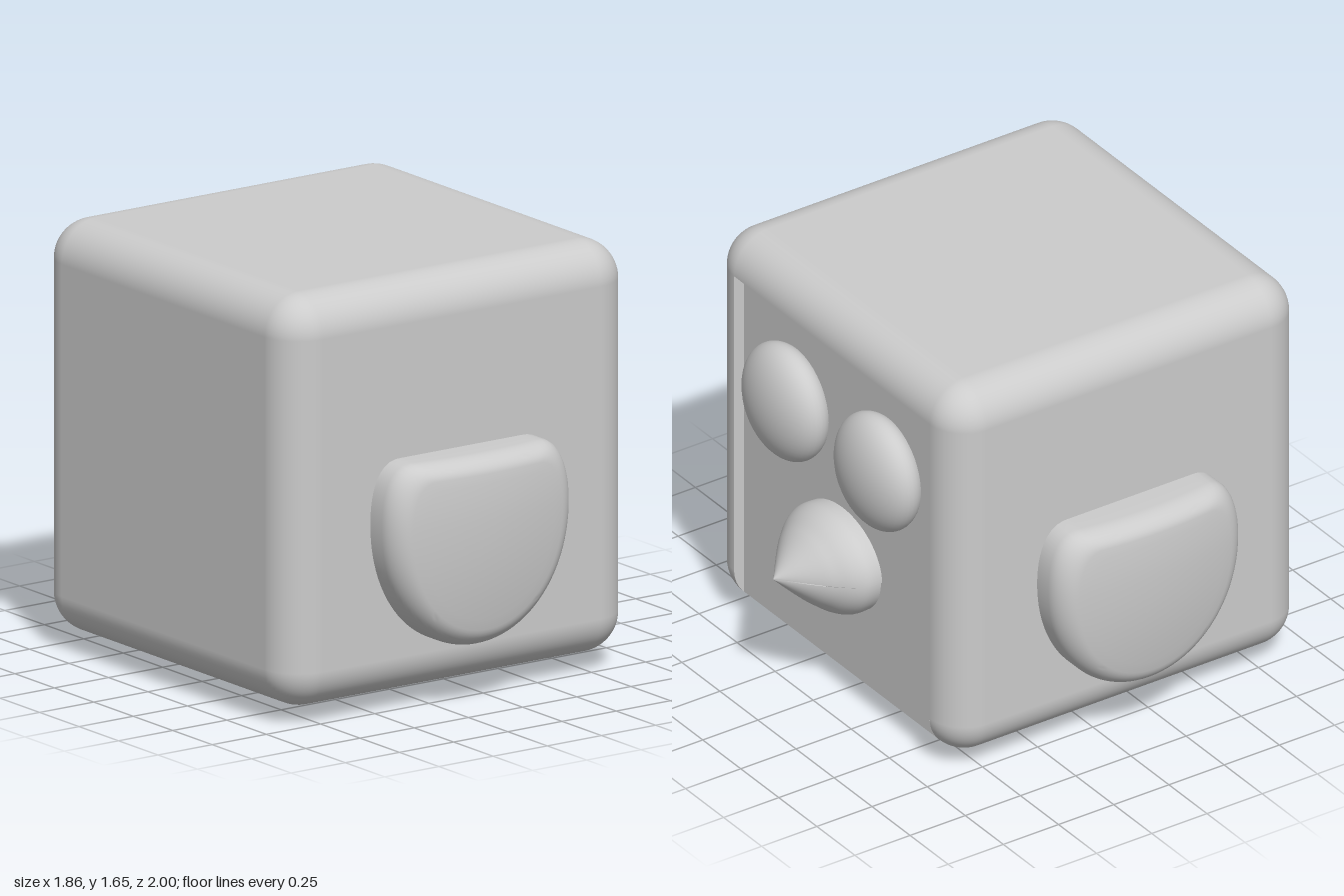
import * as THREE from 'three';
import { toCreasedNormals } from 'three/addons/utils/BufferGeometryUtils.js';
import { RoundedBoxGeometry } from 'three/addons/geometries/RoundedBoxGeometry.js';
import { ParametricGeometry } from 'three/addons/geometries/ParametricGeometry.js';

const SIZE = 1.595, H = SIZE / 2, R = 0.155, FLAT = H - R;
const CX = -0.1325, CY = 0.8575, RECESS = 0.045;

const material = new THREE.MeshStandardMaterial({ color: 0xcccccc });
const thin = new THREE.MeshStandardMaterial({ color: 0xcccccc, side: THREE.DoubleSide });

function add(parent, name, geometry, mat = material) {
  const mesh = new THREE.Mesh(geometry, mat);
  mesh.name = name;
  parent.add(mesh);
  return mesh;
}

// Rounded cube with the face, the belly and the edge between them left open
function shellGeometry() {
  const box = new RoundedBoxGeometry(SIZE, SIZE, SIZE, 8, R);
  const p = box.attributes.position, n = box.attributes.normal;
  const pos = [], nor = [], c = new THREE.Vector3(), v = new THREE.Vector3();
  for (let i = 0; i < p.count; i += 3) {
    c.set(0, 0, 0);
    for (let k = 0; k < 3; k++) c.add(v.fromBufferAttribute(p, i + k));
    c.divideScalar(3);
    const open = Math.abs(c.z) < FLAT && c.y < FLAT && c.x > -FLAT && (c.x > FLAT || c.y < -FLAT);
    if (open) continue;
    for (let k = 0; k < 3; k++) {
      pos.push(p.getX(i + k), p.getY(i + k), p.getZ(i + k));
      nor.push(n.getX(i + k), n.getY(i + k), n.getZ(i + k));
    }
  }
  const g = new THREE.BufferGeometry();
  g.setAttribute('position', new THREE.Float32BufferAttribute(pos, 3));
  g.setAttribute('normal', new THREE.Float32BufferAttribute(nor, 3));
  return g;
}

// Side profile of the opening: flush belly and lower edge, face set back by a depth
function profile(recess) {
  const s = new THREE.Shape();
  s.moveTo(-FLAT, FLAT);
  s.lineTo(-FLAT, -H);
  s.lineTo(FLAT, -H);
  s.absarc(FLAT, -FLAT, R, -Math.PI / 2, -Math.acos((R - recess) / R), false);
  s.lineTo(H - recess, FLAT);
  s.closePath();
  return s;
}

function makeBody() {
  const body = new THREE.Group();
  body.name = 'body';
  body.position.set(CX, CY, 0);
  add(body, 'shell', shellGeometry(), thin);

  // Panel that wraps from the recessed face under the belly
  const panel = new THREE.ExtrudeGeometry(profile(RECESS), {
    depth: 2 * FLAT, bevelEnabled: false, curveSegments: 12,
  });
  add(body, 'facePanel', toCreasedNormals(panel, 0.5)).position.z = -FLAT;

  // Thin walls joining the shell to the panel
  for (const s of [-1, 1]) {
    add(body, 'sideRim', new THREE.ShapeGeometry(profile(0), 12), thin).position.z = s * FLAT;
  }
  const top = add(body, 'topRim', new THREE.PlaneGeometry(RECESS, 2 * FLAT), thin);
  top.rotation.x = Math.PI / 2;
  top.position.set(H - RECESS / 2, FLAT, 0);
  return body;
}

// Wing: shield outline with a rounded rim and a gently domed face
function wingGeometry() {
  const w = 0.42, top = 0.985, bottom = 0.24, mid = 0.75;
  const s = new THREE.Shape();
  s.moveTo(0, top);
  s.lineTo(-0.29, top);
  s.bezierCurveTo(-0.37, top, -w, 0.9, -w, 0.75);
  s.bezierCurveTo(-w, 0.45, -0.23, bottom, 0, bottom);
  s.bezierCurveTo(0.23, bottom, w, 0.45, w, 0.75);
  s.bezierCurveTo(w, 0.9, 0.37, top, 0.29, top);
  s.lineTo(0, top);
  const outline = s.getSpacedPoints(96);
  const center = 0.64, rim = 0.08;
  const g = new ParametricGeometry((u, v, target) => {
    const o = outline[Math.min(96, Math.round(u * 96))];
    // first a straight wall, then a quarter round, then the face
    let scale = 1, drop = 0, wall = 1;
    if (v < 0.1) {
      wall = v / 0.1;
      drop = rim;
    } else if (v < 0.6) {
      const a = (v - 0.1) / 0.5 * Math.PI / 2;
      scale = 1 - 0.18 * (1 - Math.cos(a));
      drop = rim * (1 - Math.sin(a));
    } else scale = 0.82 * (1 - (v - 0.6) / 0.4);
    const x = o.x * scale, y = center + (o.y - center) * scale;
    const dy = y - mid;
    const dome = 0.2 - 0.05 * (x / w) ** 2 - (dy < 0 ? 0.22 : 0.35) * dy * dy;
    target.set(x, y, -0.04 + wall * (dome - drop + 0.04));
  }, 96, 20);
  g.deleteAttribute('normal');
  g.deleteAttribute('uv');
  return toCreasedNormals(g, 0.9);
}

// Half of the beak: a convex cone cut lengthwise, tip along +x
function beakHalf() {
  const pts = [[1, -0.05], [1, 0.01], [0.9, 0.06], [0.74, 0.105], [0.6, 0.14], [0.32, 0.2], [0, 0.265]];
  const curve = new THREE.SplineCurve(pts.map(([r, y]) => new THREE.Vector2(r, y)));
  const profilePts = curve.getPoints(24).map((p) => new THREE.Vector2(Math.max(p.x, 0), p.y));
  const g = new THREE.LatheGeometry(profilePts, 32, 0, Math.PI);
  g.rotateZ(-Math.PI / 2);
  g.rotateX(Math.PI);
  return g;
}

export function createModel() {
  const model = new THREE.Group();
  model.name = 'cubeBird';
  model.add(makeBody());

  const wing = wingGeometry();
  const eye = new THREE.SphereGeometry(0.235, 40, 28);
  for (const s of [1, -1]) {
    const w = add(model, s > 0 ? 'leftWing' : 'rightWing', wing, thin);
    w.position.set(-0.135, 0, s * 0.8);
    w.scale.z = s;

    const e = add(model, s > 0 ? 'leftEye' : 'rightEye', eye);
    e.position.set(0.665, 1.125, s * 0.303);
    e.scale.x = 0.51;
  }

  // Beak in two halves that meet on a slightly tilted line
  const beak = new THREE.Group();
  beak.name = 'beak';
  beak.position.set(0.665, 0.593, 0);
  beak.rotation.x = 0.035;
  const half = beakHalf();
  add(beak, 'upperBeak', half, thin).scale.set(1, 0.207, 0.265);
  const lower = add(beak, 'lowerBeak', half, thin);
  lower.scale.set(1, -0.205, 0.256);
  lower.position.y = -0.004;
  model.add(beak);

  // Small peg under the belly
  add(model, 'foot', new THREE.BoxGeometry(0.105, 0.14, 0.105)).position.set(-0.147, 0.07, 0);
  return model;
}
